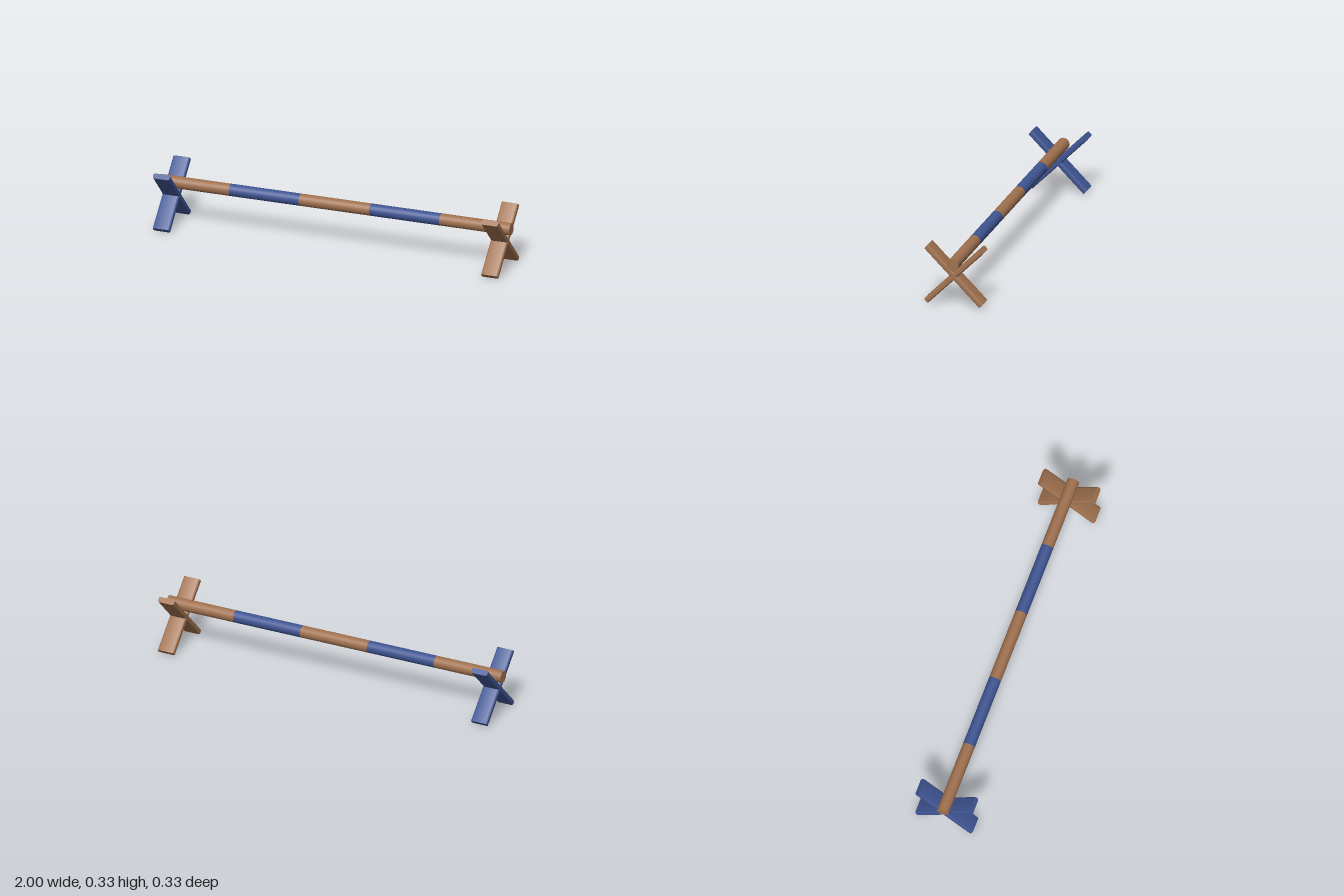
import * as THREE from 'three';
import { toCreasedNormals } from 'three/addons/utils/BufferGeometryUtils.js';

const wood = new THREE.MeshStandardMaterial({ color: 0xa0714f });
wood.name = 'brown wood';
const blue = new THREE.MeshStandardMaterial({ color: 0x3f5593 });
blue.name = 'blue paint';

// Plank with rounded long edges and flat ends, lying along z
function plankGeometry(width, thickness, length, r) {
  const w = width / 2, t = thickness / 2;
  const s = new THREE.Shape();
  s.moveTo(-w + r, -t);
  s.lineTo(w - r, -t);
  s.absarc(w - r, -t + r, r, -Math.PI / 2, 0);
  s.lineTo(w, t - r);
  s.absarc(w - r, t - r, r, 0, Math.PI / 2);
  s.lineTo(-w + r, t);
  s.absarc(-w + r, t - r, r, Math.PI / 2, Math.PI);
  s.lineTo(-w, -t + r);
  s.absarc(-w + r, -t + r, r, Math.PI, Math.PI * 1.5);
  const g = new THREE.ExtrudeGeometry(s, { depth: length, bevelEnabled: false, curveSegments: 6 });
  g.translate(0, 0, -length / 2);
  return toCreasedNormals(g, 0.6);
}

export function createModel() {
  const model = new THREE.Group();
  model.name = 'jumpPole';

  // Striped pole: five equal bands, capped only at the outer ends
  const pole = new THREE.Group();
  pole.name = 'pole';
  pole.position.y = 0.234;
  const radius = 0.033, band = 0.4;
  const bandGeo = new THREE.CylinderGeometry(radius, radius, band, 32, 1, true).rotateZ(Math.PI / 2);
  for (let i = 0; i < 5; i++) {
    const m = new THREE.Mesh(bandGeo, i % 2 ? blue : wood);
    m.name = 'poleBand' + (i + 1);
    m.position.x = (i - 2) * band;
    pole.add(m);
  }
  for (const side of [-1, 1]) {
    const cap = new THREE.Mesh(new THREE.CircleGeometry(radius, 32), wood);
    cap.name = side > 0 ? 'leftPoleEnd' : 'rightPoleEnd';
    cap.rotation.y = side * Math.PI / 2;
    cap.position.x = side;
    pole.add(cap);
  }
  model.add(pole);

  // Crossed-plank stands, one blue and one wooden
  const plankGeo = plankGeometry(0.096, 0.03, 0.432, 0.011);
  for (const side of [-1, 1]) {
    const stand = new THREE.Group();
    stand.name = side > 0 ? 'leftStand' : 'rightStand';
    stand.position.set(side * 0.936, 0.1634, 0);
    for (const tilt of [-1, 1]) {
      const plank = new THREE.Mesh(plankGeo, side > 0 ? wood : blue);
      plank.name = tilt > 0 ? 'plankA' : 'plankB';
      plank.rotation.x = tilt * Math.PI / 4;
      stand.add(plank);
    }
    model.add(stand);
  }
  return model;
}
